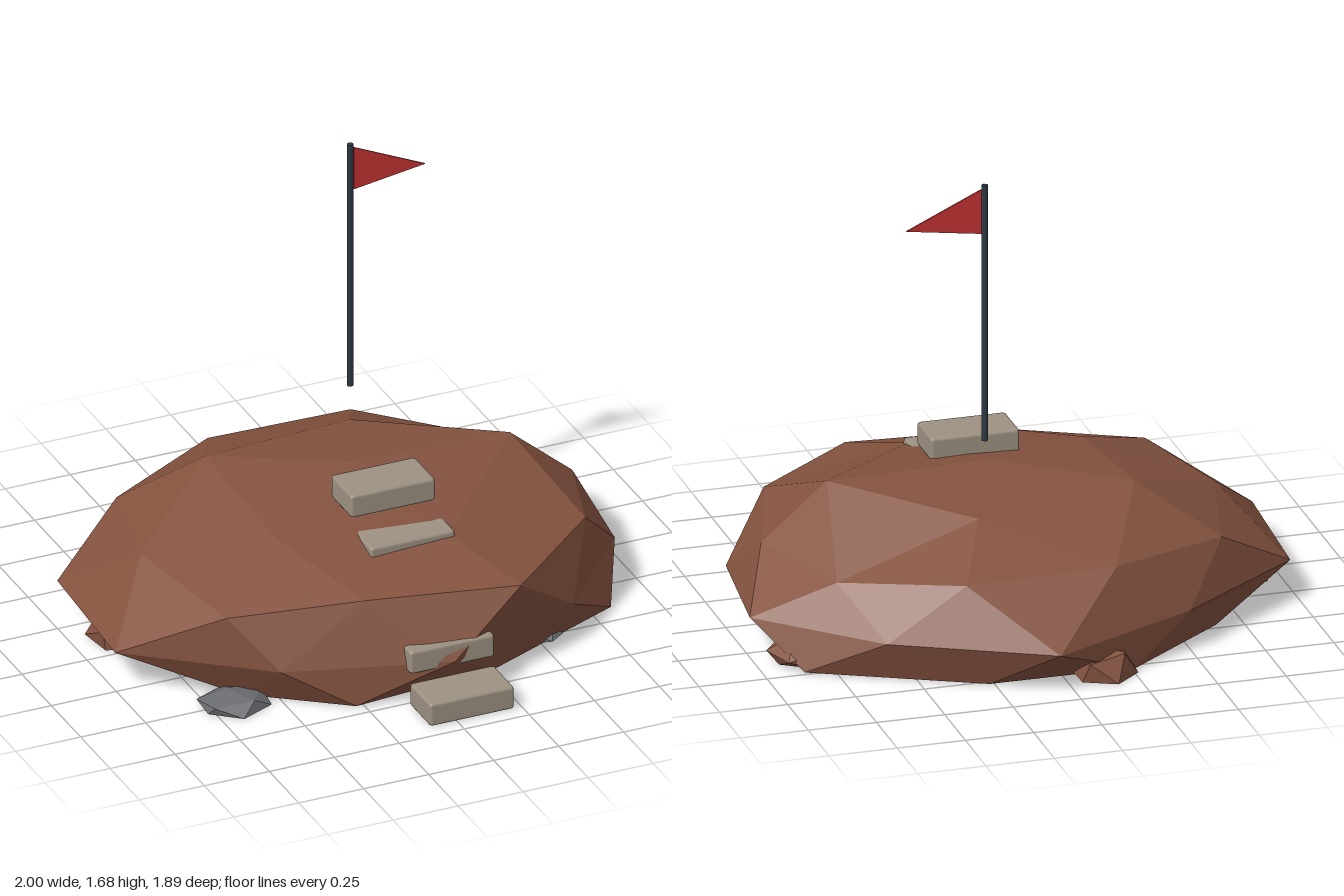
import * as THREE from 'three';
import { RoundedBoxGeometry } from 'three/addons/geometries/RoundedBoxGeometry.js';

const paint = (name, color) => Object.assign(new THREE.MeshStandardMaterial({ color }), { name });

// Faceted mound: rings of points joined like a subdivided icosahedron with a flat base
function moundGeometry() {
  const pole = [0.05, 0.54, -0.03];
  const crown = [[0.64, 0.525, -0.03], [0.2, 0.445, 0.42], [-0.38, 0.465, 0.25], [-0.4, 0.52, -0.32], [0.2, 0.48, -0.42]];
  const shoulder = [
    [0.88, 0.32, -0.03], [0.75, 0.36, 0.37], [0.35, 0.35, 0.71], [-0.21, 0.37, 0.62], [-0.68, 0.335, 0.48],
    [-0.78, 0.36, -0.03], [-0.67, 0.335, -0.48], [-0.22, 0.36, -0.7], [0.33, 0.35, -0.7], [0.72, 0.3, -0.42],
  ];
  const rim = [
    [0.94, 0.2], [0.61, 0.58], [0.06, 0.79], [-0.53, 0.61], [-1, 0.24],
    [-0.97, -0.32], [-0.5, -0.67], [0.06, -0.95], [0.61, -0.67], [1, -0.29],
  ].map(([x, z]) => [x, 0.15, z]);
  const foot = [
    [0.84, -0.03], [0.83, 0.41], [0.28, 0.65], [-0.28, 0.7], [-0.62, 0.45],
    [-0.84, -0.03], [-0.65, -0.48], [-0.27, -0.78], [0.27, -0.78], [0.86, -0.49],
  ].map(([x, z]) => [x, 0.004, z]);

  const out = [];
  const tri = (a, b, c) => out.push(...a, ...b, ...c);
  for (let k = 0; k < 5; k++) {
    const a = crown[k], b = crown[(k + 1) % 5];
    const corner = shoulder[2 * k], next = shoulder[2 * k + 1], prev = shoulder[(2 * k + 9) % 10];
    tri(pole, b, a);
    tri(a, b, next);
    tri(a, corner, prev);
    tri(a, next, corner);
  }
  for (let j = 0; j < 10; j++) {
    const n = (j + 1) % 10, p = (j + 9) % 10;
    tri(shoulder[j], rim[j], rim[p]);
    tri(shoulder[j], shoulder[n], rim[j]);
    tri(foot[j], rim[p], rim[j]);
    tri(foot[n], foot[j], rim[j]);
    tri([0, 0.004, 0], foot[j], foot[n]);
  }
  const g = new THREE.BufferGeometry();
  g.setAttribute('position', new THREE.Float32BufferAttribute(out, 3));
  g.computeVertexNormals();
  return g;
}

// Low-poly stone resting on the ground, its underside pressed flat
function stoneGeometry([x, y, z], [rx, ry, rz], turn) {
  const g = new THREE.IcosahedronGeometry(1, 0);
  g.rotateY(turn).rotateZ(turn * 0.6).scale(rx, ry, rz).translate(x, y, z);
  const pos = g.attributes.position;
  for (let i = 0; i < pos.count; i++) pos.setY(i, Math.max(0, pos.getY(i)));
  g.computeVertexNormals();
  return g;
}

export function createModel() {
  const model = new THREE.Group();
  model.name = 'flagMound';
  const earth = paint('red earth', 0x84523f);
  const slab = paint('pale stone', 0x9d9282);
  const grey = paint('grey stone', 0x6a6c70);
  const steel = paint('dark steel', 0x2f3844);
  const red = paint('flag red', 0xc53434);
  earth.flatShading = grey.flatShading = true;
  red.side = THREE.DoubleSide;

  const add = (name, geometry, material) => {
    const mesh = new THREE.Mesh(geometry, material);
    mesh.name = name;
    model.add(mesh);
    return mesh;
  };

  add('mound', moundGeometry(), earth);

  // Boulders around the foot
  [
    [[0.84, 0.02, -0.36], [0.12, 0.09, 0.12], 0.4],
    [[-0.14, 0.02, -0.79], [0.13, 0.1, 0.12], 1.3],
    [[-0.83, 0.02, -0.1], [0.12, 0.1, 0.13], 2.2],
  ].forEach((b, i) => add(`boulder${i + 1}`, stoneGeometry(...b), earth));

  // Grey stones half buried in the base
  [
    [[0.33, 0.01, -0.2], [0.12, 0.06, 0.11], 0.5],
    [[0.53, 0.01, 0.5], [0.07, 0.04, 0.07], 1.1],
    [[-0.66, 0.005, 0.5], [0.14, 0.05, 0.12], 1.9],
  ].forEach((b, i) => add(`greyStone${i + 1}`, stoneGeometry(...b), grey));

  // Steps climbing the front
  for (let i = 0; i < 5; i++) {
    const step = add(`step${i + 1}`, new RoundedBoxGeometry(0.325, 0.09, 0.178, 1, 0.012), slab);
    step.position.set(0.058, 0.045 + i * 0.124, 0.852 - i * 0.168);
  }

  // Pole and pennant
  add('flagPole', new THREE.CylinderGeometry(0.012, 0.012, 0.965, 8), steel).position.set(0.132, 1.193, -0.265);
  const pennant = new THREE.Shape([[0.145, 1.66], [0.145, 1.493], [0.42, 1.533]].map(([x, y]) => new THREE.Vector2(x, y)));
  add('pennant', new THREE.ExtrudeGeometry(pennant, { depth: 0.006, bevelEnabled: false }), red).position.z = -0.268;

  return model;
}
